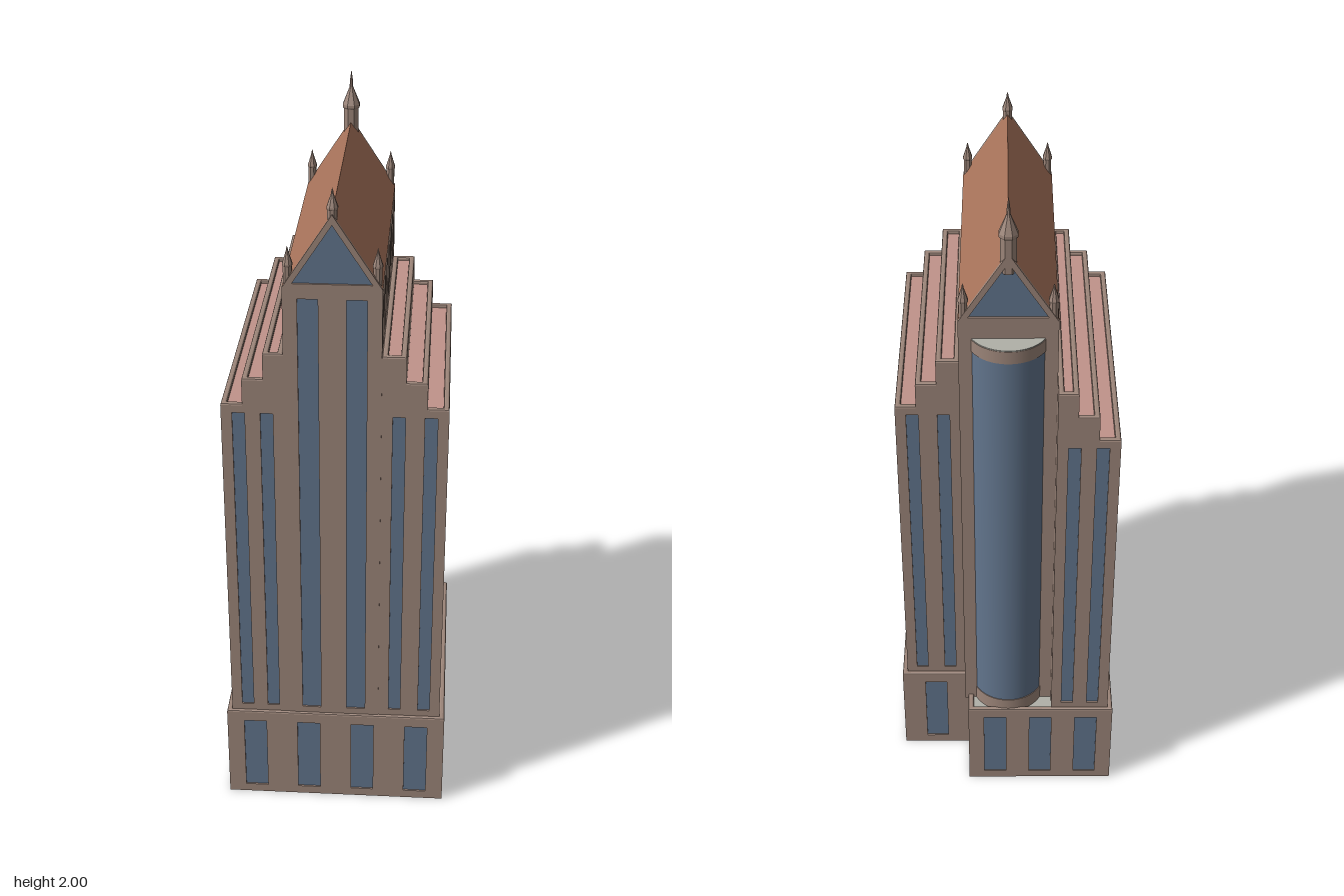
import * as THREE from 'three';

const mat = (color) => new THREE.MeshStandardMaterial({ color });
const stone = mat(0x9c8579);
const roofTile = mat(0xa8735a);
const terrace = mat(0xc0938a);
const concrete = mat(0xb0b0a8);
const glass = mat(0x62758d);
glass.side = THREE.DoubleSide;

const toVectors = (pts) => pts.map(([x, y]) => new THREE.Vector2(x, y));

function add(parent, name, geometry, material, x = 0, y = 0, z = 0) {
  const mesh = new THREE.Mesh(geometry, material);
  mesh.name = name;
  mesh.position.set(x, y, z);
  parent.add(mesh);
  return mesh;
}

// Footprints as functions of an inset distance, points are [x, z]
const rect = (x0, x1, z0, z1) => (d) => [
  [x0 + d, z1 - d], [x1 - d, z1 - d], [x1 - d, z0 + d], [x0 + d, z0 + d],
];
const baseOutline = (d) => [
  [-0.32 + d, 0.44 - d], [0.32 - d, 0.44 - d], [0.32 - d, -0.29 + d],
  [0.115 - d, -0.29 + d], [0.115 - d, -0.44 + d], [-0.32 + d, -0.44 + d],
];
const flip = (pts) => toVectors(pts.map(([x, z]) => [x, -z]));

// Horizontal slab filling a footprint
function slab(parent, name, pts, y0, y1, material) {
  const geo = new THREE.ExtrudeGeometry(new THREE.Shape(flip(pts)), { depth: y1 - y0, bevelEnabled: false });
  add(parent, name, geo.rotateX(-Math.PI / 2), material, 0, y0, 0);
}

// Bevelled ring that follows a footprint
function rim(parent, name, outline, y0, y1, width = 0.016) {
  const b = 0.005;
  const shape = new THREE.Shape(flip(outline(b)));
  shape.holes.push(new THREE.Path(flip(outline(width - b))));
  const geo = new THREE.ExtrudeGeometry(shape, {
    depth: y1 - y0 - 2 * b, bevelSize: b, bevelThickness: b, bevelSegments: 2,
  });
  add(parent, name, geo.rotateX(-Math.PI / 2), stone, 0, y0 + b, 0);
}

// Wall from a to b (left to right seen from outside) with recessed windows
function wall(parent, name, a, b, y0, y1, win) {
  const dx = b[0] - a[0], dz = b[1] - a[1], len = Math.hypot(dx, dz), t = 0.012;
  const group = new THREE.Group();
  group.name = name;
  group.position.set(a[0], 0, a[1]);
  group.rotation.y = Math.atan2(-dz, dx);
  const shape = new THREE.Shape(toVectors([[0, y0], [len, y0], [len, y1], [0, y1]]));
  if (win) {
    for (let i = 0; i < win.n; i++) {
      const c = win.n === 1 ? len / 2 : win.inset + (i * (len - 2 * win.inset)) / (win.n - 1);
      const l = c - win.w / 2, r = c + win.w / 2;
      shape.holes.push(new THREE.Path(toVectors([[l, win.y0], [l, win.y1], [r, win.y1], [r, win.y0]])));
      add(group, 'window', new THREE.PlaneGeometry(win.w + 0.004, win.y1 - win.y0 + 0.004),
        glass, c, (win.y0 + win.y1) / 2, -0.005);
    }
  }
  add(group, 'wallPanel', new THREE.ExtrudeGeometry(shape, { depth: t, bevelEnabled: false }), stone, 0, 0, -t);
  parent.add(group);
}

// One wall for each edge of a footprint; wins lists the windows per edge
function walls(parent, name, pts, y0, y1, wins) {
  pts.forEach((p, i) => wall(parent, name, p, pts[(i + 1) % pts.length], y0, y1, wins[i]));
}

// Octagonal pinnacle with a flared collar, pyramid cap and needle
function pinnacle(parent, name, x, z, y0, yBody, yCap, yTip, r) {
  const profile = toVectors([
    [0, y0], [r * 0.9, y0], [r * 0.9, yBody - r * 0.5], [r * 1.05, yBody - r * 0.3],
    [r * 1.05, yBody], [r * 0.22, yCap], [r * 0.18, yCap + (yTip - yCap) * 0.4], [0, yTip],
  ]);
  const geo = new THREE.LatheGeometry(profile, 8).toNonIndexed();
  geo.rotateY(Math.PI / 8);
  geo.computeVertexNormals();
  add(parent, name, geo, stone, x, 0, z);
}

export function createModel() {
  const model = new THREE.Group();
  model.name = 'towerBuilding';
  const section = (name) => {
    const g = new THREE.Group();
    g.name = name;
    model.add(g);
    return g;
  };

  // Base storey, open underneath, with a notched back corner
  const base = section('base');
  const bw = (n, inset) => ({ n, inset, w: 0.066, y0: 0.026, y1: 0.265 });
  walls(base, 'baseWall', baseOutline(0), 0, 0.286,
    [bw(4, 0.083), bw(5, 0.074), bw(1), bw(1), bw(3, 0.08), bw(6, 0.074)]);
  slab(base, 'baseRoof', baseOutline(0.011), 0.255, 0.289, concrete);
  rim(base, 'baseRim', baseOutline, 0.28, 0.3);

  // Side wings with stepped terraces
  const wings = [
    { name: 'rightWing', inner: -0.135, s: -1, z0: -0.43, n: 8 },
    { name: 'leftWing', inner: 0.125, s: 1, z0: -0.278, n: 7 },
  ];
  for (const { name, inner, s, z0, n } of wings) {
    const wing = section(name);
    const foot = (outer) => rect(Math.min(inner, s * outer), Math.max(inner, s * outer), z0, 0.43);
    const ww = (count, inset, w) => ({ n: count, inset, w, y0: 0.32, y1: 1.285 });
    const ends = ww(2, 0.047, 0.034), side = ww(n, 0.059, 0.041);
    walls(wing, 'wingWall', foot(0.305)(0), 0.285, 1.3,
      s > 0 ? [ends, side, ends, null] : [ends, null, ends, side]);
    [[0.305, 1.294, 1.312], [0.247, 1.3, 1.387], [0.19, 1.375, 1.462]].forEach(([outer, y0, y1]) => {
      rim(wing, 'terraceParapet', foot(outer), y0, y1);
      slab(wing, 'terraceFloor', foot(outer)(0.01), y1 - 0.018, y1 - 0.01, terrace);
    });
  }

  // Central tower shaft
  const tower = section('tower');
  const cx = -0.005, half = 0.13, zf = 0.432, zb = -0.375;
  const tw = (n, inset, w) => ({ n, inset, w, y0: 0.32, y1: 1.62 });
  walls(tower, 'towerWall', rect(cx - half, cx + half, zb, zf)(0), 0.285, 1.65,
    [tw(2, 0.066, 0.054), tw(7, 0.062, 0.048), null, tw(7, 0.062, 0.048)]);

  // Gabled roof with glazed gable ends
  const roof = section('roof');
  const triangle = (w, y0, y1) => toVectors([[-w, y0], [w, y0], [0, y1]]);
  const prism = (shape, depth) => new THREE.ExtrudeGeometry(shape, { depth, bevelEnabled: false });
  add(roof, 'gableRoof', prism(new THREE.Shape(triangle(half, 1.65, 1.85)), zf - zb - 0.02), roofTile, cx, 0, zb + 0.01);
  const frame = new THREE.Shape(triangle(half, 1.65, 1.85));
  frame.holes.push(new THREE.Path(triangle(0.104, 1.662, 1.822).reverse()));
  for (const [z, glassZ] of [[zf - 0.01, zf - 0.006], [zb, zb + 0.006]]) {
    add(roof, 'gableFrame', prism(frame, 0.01), stone, cx, 0, z);
    add(roof, 'gableWindow', new THREE.ShapeGeometry(new THREE.Shape(triangle(0.106, 1.66, 1.825))), glass, cx, 0, glassZ);
  }

  // Pinnacles on the tower corners and at both ends of the ridge
  for (const side of [-1, 1]) {
    for (const z of [0.412, -0.362]) {
      pinnacle(roof, 'cornerPinnacle', cx + side * 0.116, z, 1.63, 1.71, 1.745, 1.757, 0.0135);
    }
  }
  pinnacle(roof, 'frontPinnacle', cx, 0.412, 1.8, 1.865, 1.9, 1.915, 0.015);
  pinnacle(roof, 'backSpire', cx, -0.354, 1.79, 1.9, 1.95, 2, 0.025);

  // Curved glass bay on the back
  const bay = section('roundedBay');
  const drum = (name, r, y0, y1, material) =>
    add(bay, name, new THREE.CylinderGeometry(r, r, y1 - y0, 48), material, cx, (y0 + y1) / 2, -0.327);
  drum('bayGlass', 0.106, 0.33, 1.57, glass);
  drum('bayBottomBand', 0.108, 0.285, 0.335, stone);
  drum('bayTopBand', 0.108, 1.56, 1.597, stone);
  drum('bayCap', 0.107, 1.59, 1.6, concrete);

  return model;
}
